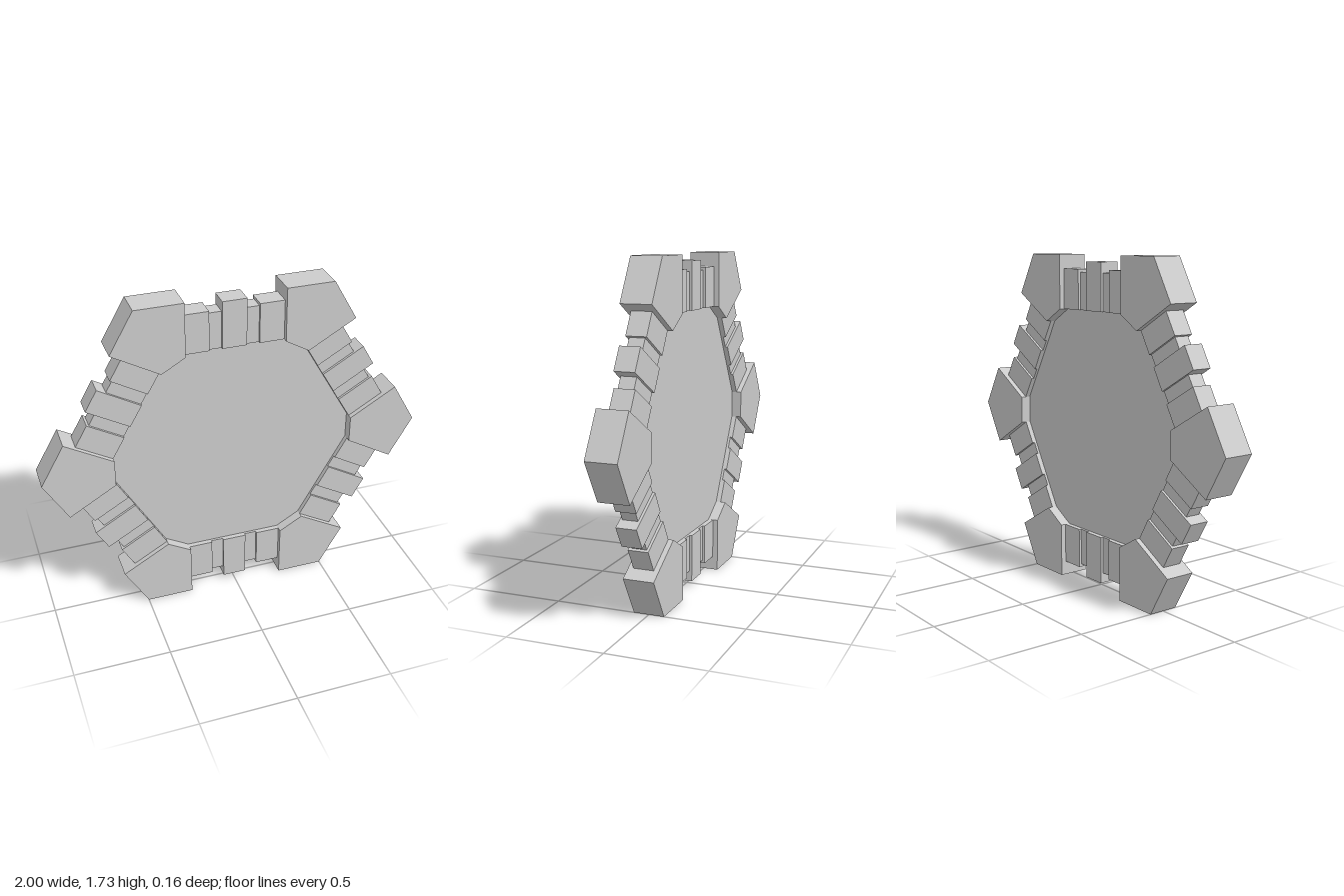
import * as THREE from 'three';

const material = new THREE.MeshStandardMaterial({ color: 0xcccccc, flatShading: true });
const INNER = 0.584;          // distance from centre to the inner edge of each side
const TIP_X = 0.633, TIP_Y = 0.071; // inner edge of a corner block

// Flat polygon extruded evenly about z = 0
function slab(name, points, halfDepth) {
  const shape = new THREE.Shape(points.map(([x, y]) => new THREE.Vector2(x, y)));
  const geometry = new THREE.ExtrudeGeometry(shape, { depth: halfDepth * 2, bevelEnabled: false });
  geometry.translate(0, 0, -halfDepth);
  const mesh = new THREE.Mesh(geometry, material);
  mesh.name = name;
  return mesh;
}

// Upright bar reaching outward from the inner edge of a side
function bar(name, x0, x1, top, halfDepth) {
  const geometry = new THREE.BoxGeometry(x1 - x0, top - INNER, halfDepth * 2);
  geometry.translate((x0 + x1) / 2, (top + INNER) / 2, 0);
  const mesh = new THREE.Mesh(geometry, material);
  mesh.name = name;
  return mesh;
}

export function createModel() {
  const model = new THREE.Group();
  model.name = 'hexagonalGate';
  const ring = new THREE.Group();
  ring.name = 'ring';
  ring.position.y = Math.sqrt(3) / 2;
  model.add(ring);

  const platePoints = [];
  for (let i = 0; i < 6; i++) {
    const angle = (i * Math.PI) / 3;
    const c = Math.cos(angle), s = Math.sin(angle);
    for (const y of [-TIP_Y, TIP_Y]) platePoints.push([TIP_X * c - y * s, TIP_X * s + y * c]);

    // Heavy pentagonal corner block
    const corner = slab('cornerBlock',
      [[1, 0], [0.877, 0.213], [TIP_X, TIP_Y], [TIP_X, -TIP_Y], [0.877, -0.213]], 0.08);
    corner.rotation.z = angle;
    ring.add(corner);

    // Stepped bars linking neighbouring corners
    const side = new THREE.Group();
    side.name = 'sideSegment';
    side.add(
      bar('outerBarRight', -0.256, -0.128, 0.793, 0.053),
      bar('recessedBarRight', -0.128, -0.0625, 0.778, 0.04),
      bar('centreBar', -0.0625, 0.0625, 0.832, 0.053),
      bar('recessedBarLeft', 0.0625, 0.128, 0.778, 0.04),
      bar('outerBarLeft', 0.128, 0.256, 0.793, 0.053),
    );
    side.rotation.z = angle;
    ring.add(side);
  }

  // Thin recessed plate filling the opening
  ring.add(slab('centrePlate', platePoints, 0.027));
  return model;
}
